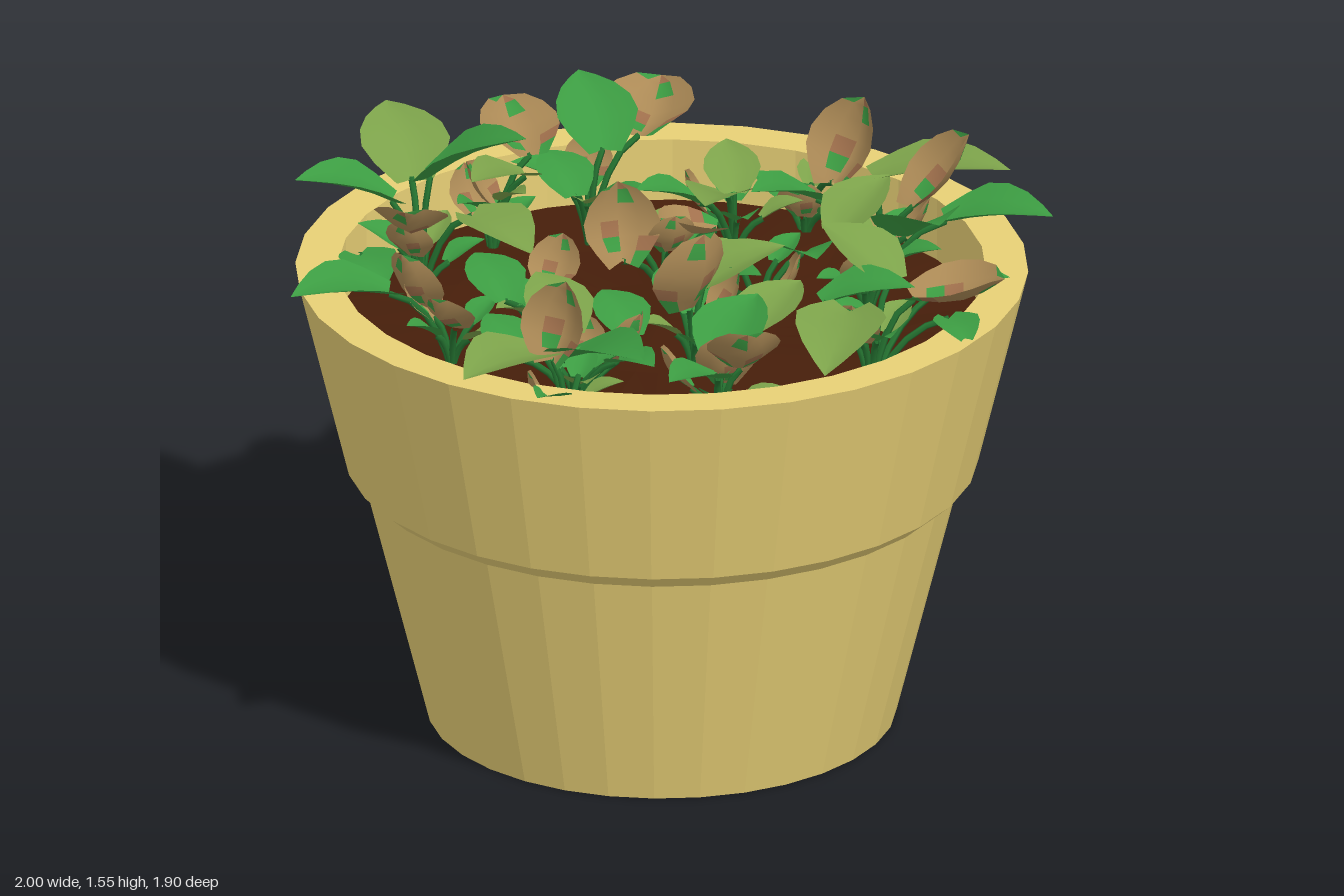
import * as THREE from 'three';

const mat = (name, color, side = THREE.FrontSide) =>
  Object.assign(new THREE.MeshStandardMaterial({ color, side }), { name });

// Each leaf: base x, base z, tip x, tip z, base height, tip height
const GREEN = [
  [-.54, -.48, -.8, -.5, 1.32, 1.41], [.11, -.65, .13, -.88, 1.3, 1.43], [-.44, -.46, -.24, -.28, 1.38, 1.53],
  [-.72, -.02, -1, 0, 1.27, 1.31], [-.43, .06, -.44, -.13, 1.24, 1.3], [-.39, .06, -.23, .11, 1.22, 1.25],
  [-.43, .5, -.33, .83, 1.25, 1.36], [-.27, .46, -.22, .61, 1.2, 1.24], [-.19, .35, -.2, .17, 1.22, 1.28],
  [-.05, .63, .12, .47, 1.25, 1.34], [.02, .16, .02, .02, 1.2, 1.25], [.64, .19, .62, .48, 1.31, 1.46],
  [.77, .13, 1, .31, 1.31, 1.36], [.62, .42, .82, .47, 1.24, 1.28], [.53, -.19, .33, -.14, 1.28, 1.35],
  [-.02, -.52, -.03, -.7, 1.24, 1.3], [.25, -.32, .07, -.3, 1.26, 1.33], [.29, .5, .5, .62, 1.3, 1.36],
  [.18, 0, .27, .1, 1.18, 1.22], [.42, 0, .4, .16, 1.22, 1.27], [-.68, -.35, -.68, -.16, 1.24, 1.22],
  [-.1, .76, -.27, .85, 1.25, 1.3], [.6, .6, .6, .75, 1.25, 1.23], [-.5, .34, -.52, .17, 1.2, 1.26],
];
const OLIVE = [
  [-.43, -.62, -.4, -.89, 1.31, 1.42], [-.36, -.36, -.28, -.13, 1.3, 1.27], [-.12, -.6, -.31, -.5, 1.28, 1.33],
  [.68, -.16, .98, .05, 1.33, 1.39], [.52, 0, .7, -.1, 1.27, 1.36], [-.4, .45, -.41, .24, 1.3, 1.39],
  [-.51, .56, -.78, .69, 1.3, 1.32], [.31, .64, .14, .91, 1.33, 1.28], [.06, .22, .29, .22, 1.27, 1.35],
  [.34, -.34, .21, -.16, 1.26, 1.32], [.49, .46, .37, .27, 1.32, 1.42], [.11, .48, .28, .36, 1.25, 1.31],
  [.38, -.4, .42, -.56, 1.24, 1.32],
];
const RUST = [
  [-.08, -.68, -.08, -.88, 1.3, 1.39], [.22, -.68, .36, -.88, 1.31, 1.38], [-.52, -.36, -.6, -.22, 1.28, 1.4],
  [-.58, .1, -.67, .16, 1.2, 1.32], [-.62, -.06, -.68, -.03, 1.2, 1.37], [.25, -.18, .08, -.16, 1.24, 1.3],
  [-.02, -.16, -.01, -.22, 1.2, 1.4], [0, .28, .02, .34, 1.24, 1.47], [.52, .56, .73, .67, 1.3, 1.37],
  [.68, .12, .83, .14, 1.36, 1.55], [.62, -.3, .72, -.34, 1.27, 1.48], [-.02, .72, -.05, .85, 1.25, 1.4],
  [-.04, .65, -.06, .7, 1.18, 1.33], [-.22, .34, -.18, .4, 1.15, 1.3], [-.19, -.66, -.25, -.7, 1.18, 1.3],
  [-.5, .6, -.45, .57, 1.3, 1.5],
];
// Where the stems of each little plant leave the soil
const ROOTS = [[-.48, -.42], [.38, -.4], [-.56, .02], [-.36, .4], [.02, .26], [.28, .04], [.56, .1],
  [.4, .56], [-.08, .7], [.06, -.62], [-.32, .04], [.68, -.1], [.12, -.22], [.6, -.46], [-.46, .62], [-.2, -.64]];

const SOIL_Y = 1.07;
const POINTED = [[0, .4], [.12, .8], [.3, 1], [.5, .92], [.7, .66], [.87, .32], [1, 0]];
const ROUNDED = [[0, .4], [.12, .75], [.3, 1], [.5, 1.05], [.72, .86], [.9, .5], [1, 0]];

// Heart-shaped leaf folded along the midrib, or a rounded cup with mottled patches
function leafGeometry(base, tip, cup, mottled) {
  const d = tip.clone().sub(base), len = d.length();
  const side = new THREE.Vector3().crossVectors(d, new THREE.Vector3(0, 1, 0)).normalize();
  const up = new THREE.Vector3().crossVectors(side, d).normalize();
  const rows = mottled ? ROUNDED : POINTED, bend = len * (mottled ? -.13 : .06);
  const half = Math.min(len, .29) * (mottled ? .46 : .41), pos = [], cells = [[], [], []];
  rows.forEach(([t, w], i) => {
    for (let j = -2; j <= 2; j++) {
      const u = j / 2, a = Math.abs(u);
      const lift = cup * half * w * a ** 1.4 + bend * Math.sin(Math.PI * t);
      const p = base.clone().addScaledVector(d, t - (i === 0 ? .09 * a : 0))
        .addScaledVector(side, u * w * half).addScaledVector(up, lift);
      pos.push(p.x, p.y, p.z);
    }
  });
  for (let i = 0; i < rows.length - 1; i++) for (let j = 0; j < 4; j++) {
    const a = i * 5 + j, b = a + 1, c = a + 5, e = a + 6, k = (i * 3 + j * 5) % 7;
    const list = cells[mottled && k === 1 ? 1 : mottled && k === 4 ? 2 : 0];
    list.push(a, b, c);
    if (i < rows.length - 2) list.push(b, e, c);
  }
  const g = new THREE.BufferGeometry();
  g.setAttribute('position', new THREE.Float32BufferAttribute(pos, 3));
  g.setIndex(cells.flat());
  let start = 0;
  cells.forEach((list, i) => {
    g.addGroup(start, list.length, i);
    start += list.length;
  });
  g.computeVertexNormals();
  return g;
}

// Faceted solid of revolution
function facetedLathe(points, sides, shape) {
  const lathe = new THREE.LatheGeometry(points.map(p => new THREE.Vector2(...p)), sides);
  if (shape) shape(lathe.attributes.position);
  const g = lathe.toNonIndexed();
  g.computeVertexNormals();
  return g;
}

export function createModel() {
  const model = new THREE.Group();
  const clay = mat('tan clay', 0xe8d076), earth = mat('dark soil', 0x461e0a);
  const green = mat('leaf green', 0x3c9c42, THREE.DoubleSide);
  const olive = mat('light leaf green', 0x7ca24a, THREE.DoubleSide);
  const rust = mat('rusty leaf', 0xac8a56, THREE.DoubleSide);
  const blush = mat('reddish leaf patch', 0xa0704c, THREE.DoubleSide);
  const stemGreen = mat('stem green', 0x247230);
  const add = (parent, name, geometry, material) => {
    const m = new THREE.Mesh(geometry, material);
    m.name = name;
    parent.add(m);
    return m;
  };

  // Pot with an overhanging collar and an open mouth
  const pot = add(model, 'pot', facetedLathe([[0, 0], [.61, 0], [.778, .67], [.823, .71], [.952, 1.24],
    [.842, 1.24], [.842, 1.0]], 32), clay);
  pot.position.x = .03;

  // Slightly lumpy soil
  const soil = add(model, 'soil', facetedLathe([[.842, SOIL_Y], [.58, SOIL_Y], [.3, SOIL_Y], [0, SOIL_Y]], 32, p => {
    for (let i = 0; i < p.count; i++) {
      const x = p.getX(i), z = p.getZ(i);
      if (Math.hypot(x, z) < .8) p.setY(i, SOIL_Y + .025 * Math.sin(x * 7 + 1) * Math.cos(z * 6));
    }
  }), earth);
  soil.position.x = .03;

  // One leaf with a bowed stem running to the nearest root
  const plants = ROOTS.map(() => {
    const g = new THREE.Group();
    g.name = 'plant';
    model.add(g);
    return g;
  });
  const addLeaf = ([bx, bz, tx, tz, by, ty], material, cup, mottled) => {
    const base = new THREE.Vector3(bx, by, bz), tip = new THREE.Vector3(tx, ty, tz);
    const dist = r => Math.hypot(r[0] - bx, r[1] - bz);
    const k = ROOTS.reduce((best, r, i) => (dist(r) < dist(ROOTS[best]) ? i : best), 0);
    const [rx, rz] = ROOTS[k];
    add(plants[k], 'leaf', leafGeometry(base, tip, cup, mottled), [material, green, blush]);
    const path = new THREE.QuadraticBezierCurve3(new THREE.Vector3(rx, SOIL_Y - .03, rz),
      new THREE.Vector3(rx + (bx - rx) * .3, by - .02, rz + (bz - rz) * .3), base);
    add(plants[k], 'stem', new THREE.TubeGeometry(path, 5, .009, 5), stemGreen);
  };
  GREEN.forEach(l => addLeaf(l, green, .35, false));
  OLIVE.forEach(l => addLeaf(l, olive, .3, false));
  RUST.forEach(l => addLeaf(l, rust, .55, true));

  // Small young leaves low around each root
  let seed = 7;
  const rand = () => (seed = (seed * 16807) % 2147483647) / 2147483647;
  const young = [green, rust, green, olive];
  ROOTS.forEach(([x, z], i) => {
    young.forEach((material, n) => {
      const a = n * 1.57 + rand() + i, r = .04 + rand() * .04, mottled = material === rust;
      const l = r + (mottled ? .05 : .09) + rand() * .04, y = 1.13 + rand() * .1;
      addLeaf([x + r * Math.cos(a), z + r * Math.sin(a), x + l * Math.cos(a), z + l * Math.sin(a),
        y, y + (mottled ? .12 : .05)], material, .4, mottled);
    });
  });
  return model;
}
